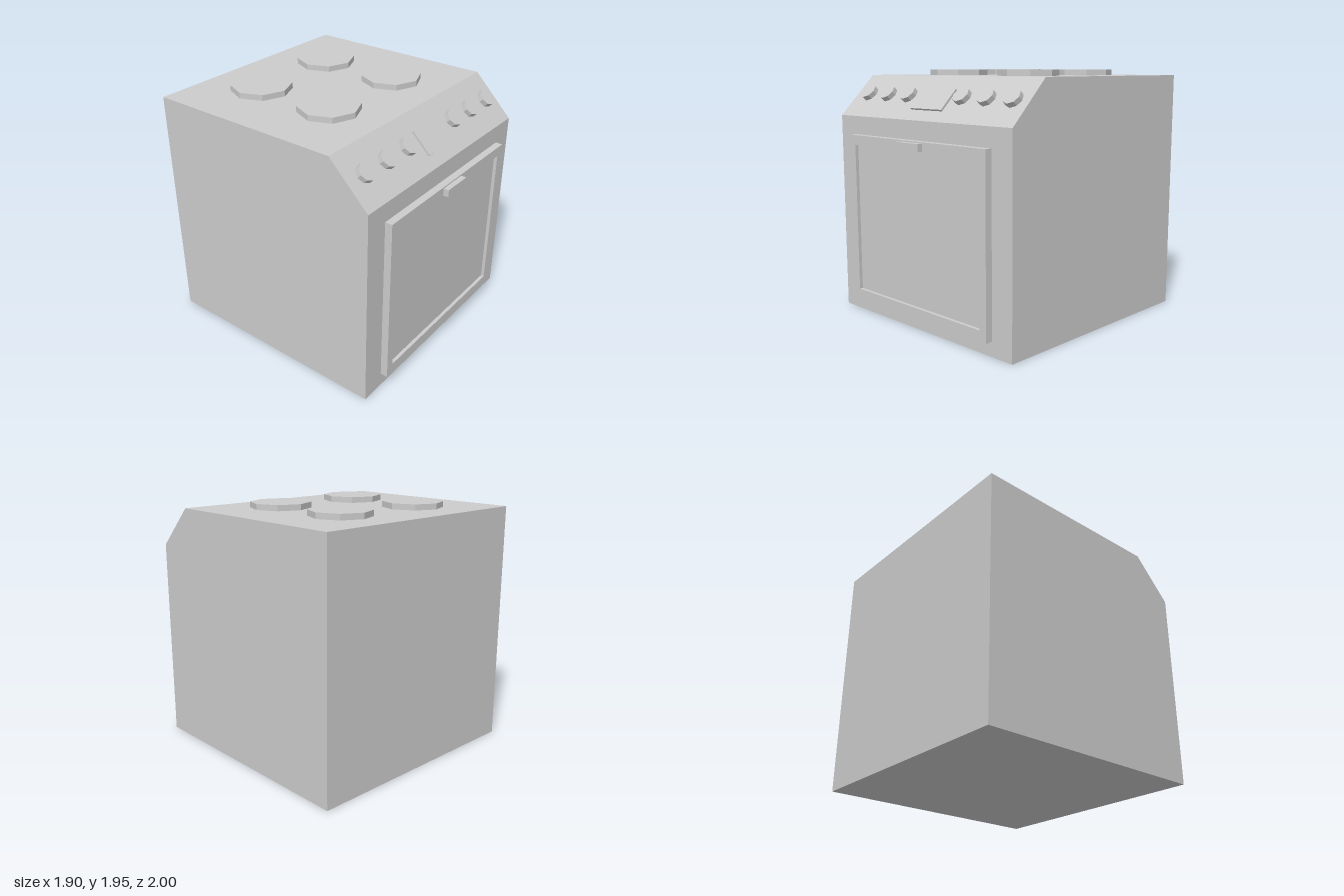
import * as THREE from 'three';

const material = new THREE.MeshStandardMaterial({ color: 0xcccccc, flatShading: true });

function add(parent, name, geometry, x = 0, y = 0, z = 0) {
  const mesh = new THREE.Mesh(geometry, material);
  mesh.name = name;
  mesh.position.set(x, y, z);
  parent.add(mesh);
  return mesh;
}

function rectangle(Type, x0, y0, x1, y1) {
  return new Type([[x0, y0], [x1, y0], [x1, y1], [x0, y1]].map(([x, y]) => new THREE.Vector2(x, y)));
}

export function createModel() {
  const stove = new THREE.Group();
  stove.name = 'stove';

  // Body: side profile (z, y) with a sloped control face, extruded across the width
  const profile = [[-1, 0], [0.9, 0], [0.9, 1.582], [0.582, 1.9], [-1, 1.9]];
  const side = new THREE.Shape(profile.map(([z, y]) => new THREE.Vector2(-z, y)));
  const bodyGeometry = new THREE.ExtrudeGeometry(side, { depth: 1.9, bevelEnabled: false });
  bodyGeometry.rotateY(Math.PI / 2).translate(-0.95, 0, 0);
  add(stove, 'body', bodyGeometry);

  // Four octagonal burners
  for (const x of [-0.385, 0.385]) {
    for (const z of [-0.53, 0.13]) {
      add(stove, 'burner', new THREE.CylinderGeometry(0.235, 0.235, 0.045, 8), x, 1.9225, z);
    }
  }

  // Controls: local y points out of the sloped face, local z runs down it
  const controls = new THREE.Group();
  controls.name = 'controls';
  controls.position.set(0, 1.741, 0.741);
  controls.rotation.x = Math.PI / 4;
  stove.add(controls);
  for (const x of [-0.775, -0.53, -0.28, 0.315, 0.56, 0.81]) {
    add(controls, 'knob', new THREE.CylinderGeometry(0.07, 0.07, 0.04, 8), x, 0.02, -0.011);
  }
  add(controls, 'display', new THREE.BoxGeometry(0.34, 0.016, 0.206), 0.025, 0.008, 0.021);

  // Oven door: raised frame around a recessed panel
  const door = new THREE.Group();
  door.name = 'door';
  stove.add(door);
  const frame = rectangle(THREE.Shape, -0.76, 0.11, 0.76, 1.438);
  frame.holes.push(rectangle(THREE.Path, -0.695, 0.19, 0.695, 1.36));
  add(door, 'doorFrame', new THREE.ExtrudeGeometry(frame, { depth: 0.057, bevelEnabled: false }), 0, 0, 0.9);
  add(door, 'doorPanel', new THREE.BoxGeometry(1.39, 1.17, 0.03), 0, 0.775, 0.915);
  add(door, 'handle', new THREE.BoxGeometry(0.244, 0.058, 0.043), 0, 1.399, 0.9785);

  return stove;
}
